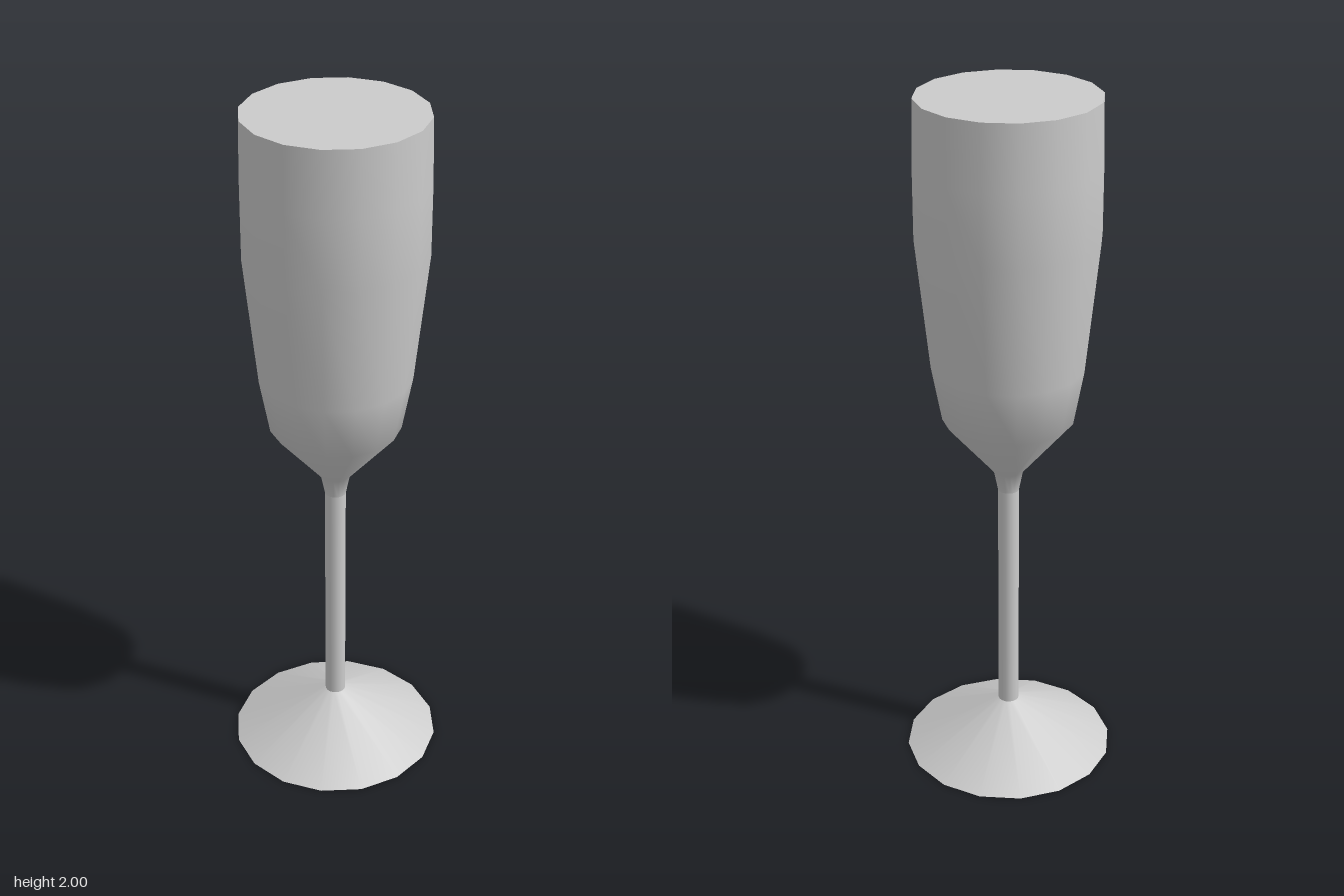
import * as THREE from 'three';

const SIDES = 16;

export function createModel() {
  const group = new THREE.Group();
  const material = new THREE.MeshStandardMaterial({ color: 0xcccccc });

  const add = (name, geometry) => {
    const mesh = new THREE.Mesh(geometry, material);
    mesh.name = name;
    group.add(mesh);
    return mesh;
  };

  // Turned part from [radius, height] pairs, listed bottom to top
  const turned = (name, profile) =>
    add(name, new THREE.LatheGeometry(profile.map(([r, y]) => new THREE.Vector2(r, y)), SIDES));

  // Flat disc facing up (+1) or down (-1)
  const disc = (name, radius, y, facing) => {
    const mesh = add(name, new THREE.CircleGeometry(radius, SIDES));
    mesh.rotation.x = -facing * Math.PI / 2;
    mesh.position.y = y;
  };

  // Conical foot with a flat underside
  turned('foot', [[0.306, 0], [0.03, 0.148]]);
  disc('footUnderside', 0.306, 0, -1);

  // Slim stem
  turned('stem', [[0.03, 0.148], [0.03, 0.86]]);

  // Flute bowl, flaring out of the stem and closing in slightly at the rim
  turned('bowl', [
    [0.03, 0.86], [0.042, 0.92], [0.185, 1.09], [0.214, 1.25],
    [0.252, 1.62], [0.252, 1.82], [0.248, 2],
  ]);

  // Level surface closing the bowl at the rim
  disc('bowlTop', 0.248, 2, 1);

  return group;
}
